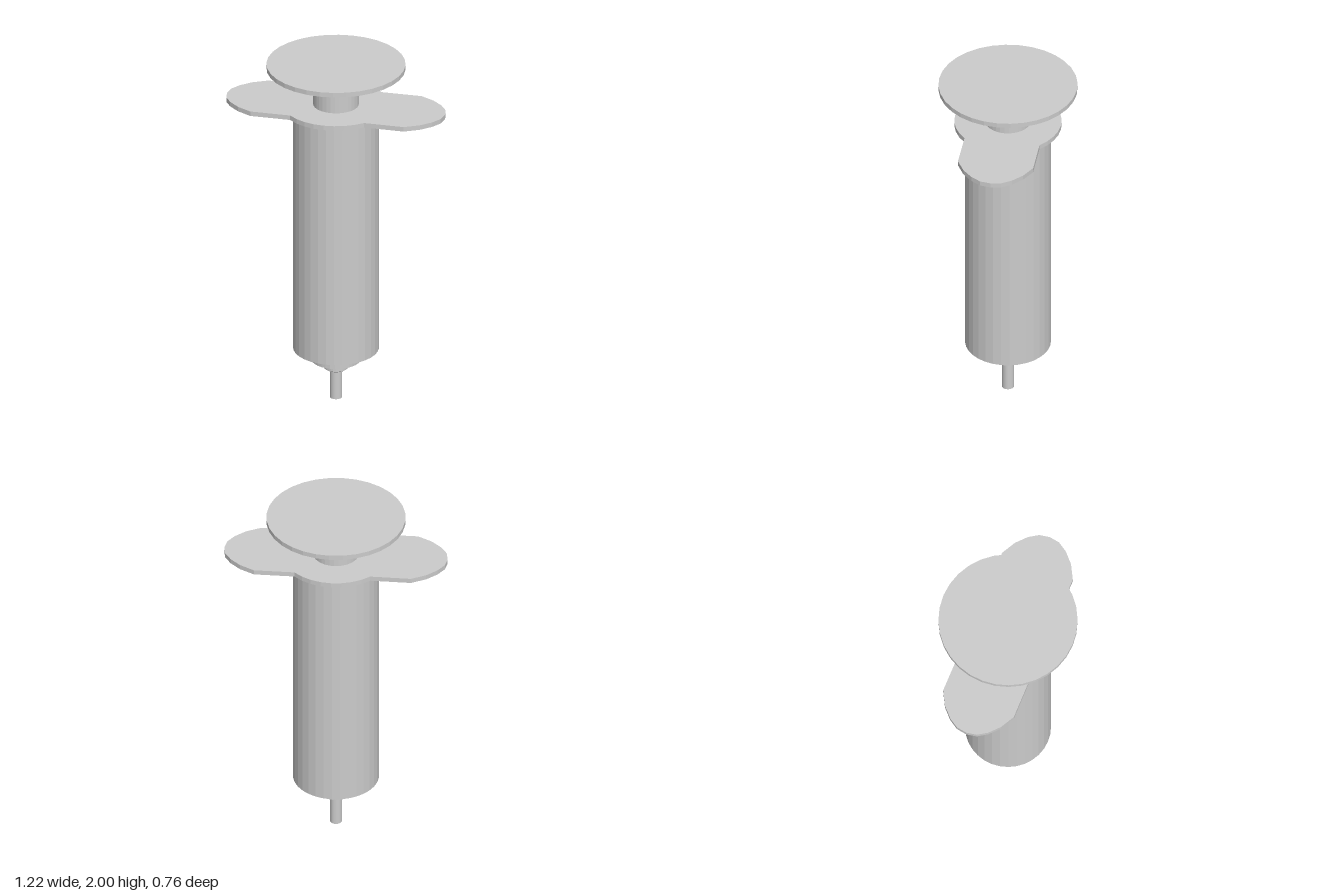
import * as THREE from 'three';

const SIDES = 32;

export function createModel() {
  const group = new THREE.Group();
  const material = new THREE.MeshStandardMaterial({ color: 0xcccccc, flatShading: true });

  const add = (name, geometry, y = 0) => {
    const mesh = new THREE.Mesh(geometry, material);
    mesh.name = name;
    mesh.position.y = y;
    group.add(mesh);
  };
  const disc = (name, radius, y0, y1) =>
    add(name, new THREE.CylinderGeometry(radius, radius, y1 - y0, SIDES), (y0 + y1) / 2);

  // Stepped nozzle: thin tip, collar, tapered hub
  const profile = [
    [0, 0], [0.033, 0], [0.033, 0.17], [0.055, 0.172], [0.067, 0.18],
    [0.067, 0.21], [0.135, 0.228], [0.135, 0.3], [0, 0.3],
  ].map(([r, y]) => new THREE.Vector2(r, y));
  add('nozzle', new THREE.LatheGeometry(profile, SIDES));

  disc('barrel', 0.235, 0.298, 1.737);

  // Finger flange: a round middle with two rounded wings
  const wing = [[0.43, 0.208], [0.51, 0.165], [0.567, 0.112], [0.602, 0.058], [0.612, 0]];
  const wingEnd = [...wing, ...wing.slice(0, -1).reverse().map(([x, z]) => [x, -z])];
  const outline = [];
  for (const side of [1, -1]) {
    // Front or back arc of the middle, from 45 to 135 degrees
    for (let i = 0; i <= 8; i++) {
      const a = Math.PI / 4 + (i / 8) * (Math.PI / 2);
      outline.push(new THREE.Vector2(side * 0.293 * Math.cos(a), side * 0.293 * Math.sin(a)));
    }
    // Wing that follows it
    for (const [x, z] of wingEnd) outline.push(new THREE.Vector2(-side * x, side * z));
  }
  const flange = new THREE.ExtrudeGeometry(new THREE.Shape(outline), { depth: 0.027, bevelEnabled: false });
  flange.rotateX(-Math.PI / 2);
  add('fingerFlange', flange, 1.733);

  // Plunger
  disc('plungerRod', 0.125, 1.75, 1.98);
  disc('thumbPlate', 0.38, 1.973, 2);

  return group;
}
